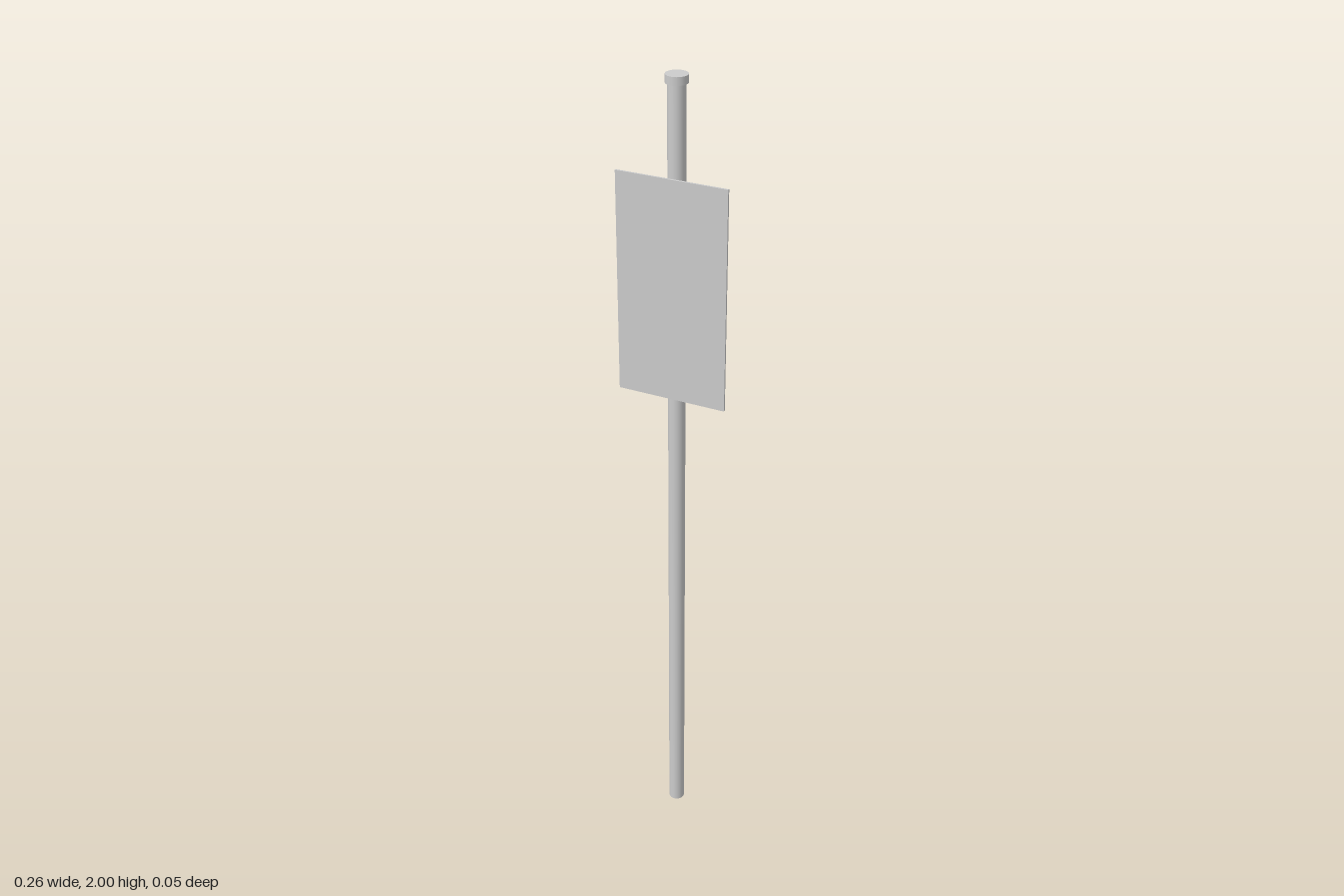
import * as THREE from 'three';

export function createModel() {
  const group = new THREE.Group();
  const material = new THREE.MeshStandardMaterial({ color: 0xcccccc });
  const poleZ = -0.003;

  const add = (name, geometry, y, z) => {
    const mesh = new THREE.Mesh(geometry, material);
    mesh.name = name;
    mesh.position.set(0, y, z);
    group.add(mesh);
  };
  const disc = (radius, height) => new THREE.CylinderGeometry(radius, radius, height, 16);

  // Upright post and its slightly wider end cap
  add('pole', disc(0.02, 1.99), 0.995, poleZ);
  add('poleCap', disc(0.025, 0.018), 1.991, poleZ);

  // Thin sign plate in front of the post
  add('signPanel', new THREE.BoxGeometry(0.262, 0.525, 0.005), 1.522, 0.0245);

  // Clamp bands holding the plate to the post
  for (const [name, y] of [['upperClamp', 1.707], ['lowerClamp', 1.337]]) {
    add(name, disc(0.025, 0.026), y, poleZ);
  }

  return group;
}
